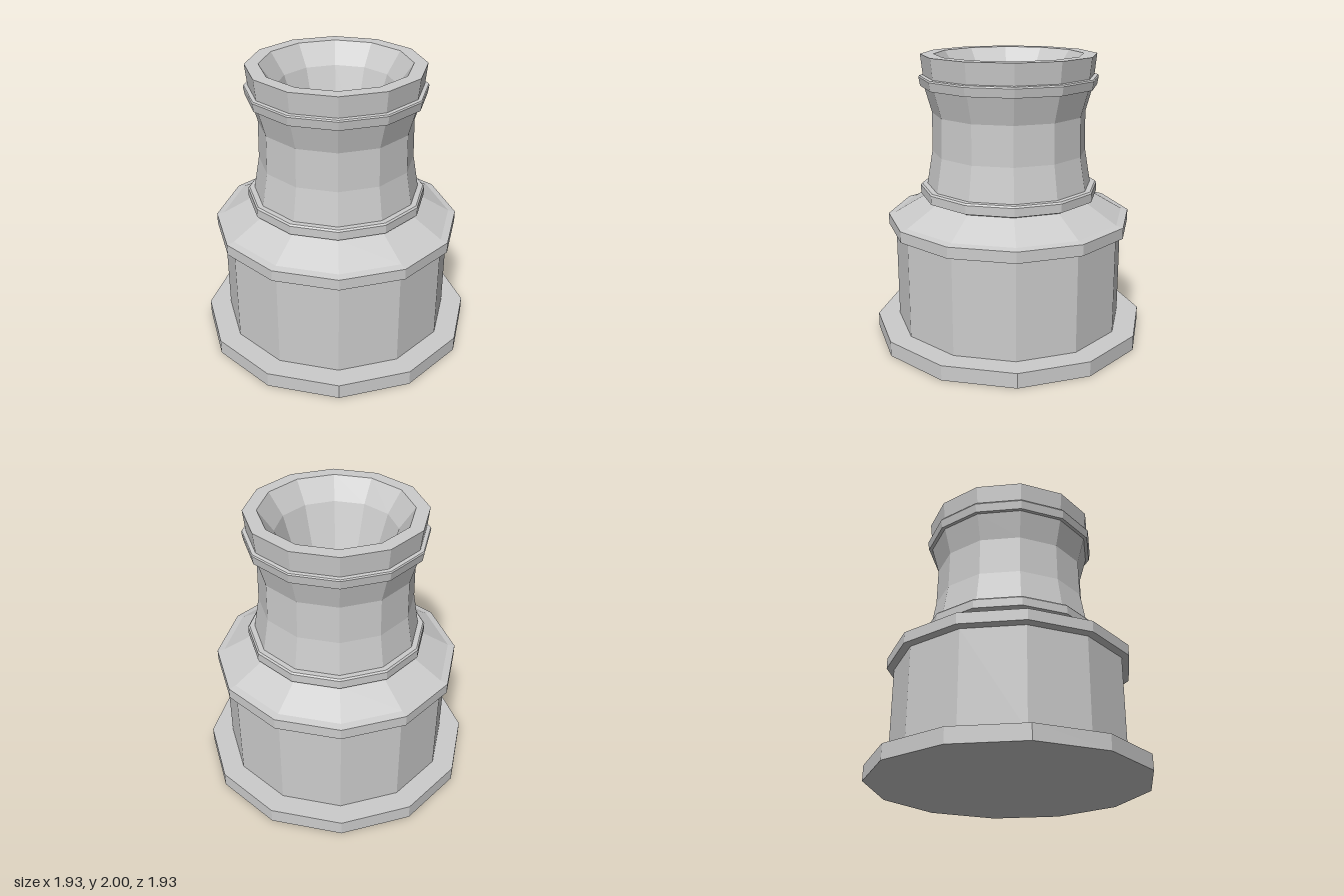
import * as THREE from 'three';

const SIDES = 12;
const material = new THREE.MeshStandardMaterial({ color: 0xcccccc, flatShading: true });

// Revolve a [radius, height] profile into a twelve-sided part
function turned(name, profile) {
  const points = profile.map(([r, y]) => new THREE.Vector2(r, y));
  const mesh = new THREE.Mesh(new THREE.LatheGeometry(points, SIDES), material);
  mesh.name = name;
  return mesh;
}

export function createModel() {
  const group = new THREE.Group();
  group.name = 'turnedPedestal';

  group.add(
    // Wide foot slab
    turned('footPlate', [[0, 0], [0.965, 0], [0.965, 0.105], [0.81, 0.105]]),
    // Straight lower body
    turned('drum', [[0.81, 0.105], [0.81, 0.79]]),
    // Band around the top of the drum
    turned('drumBand', [[0.81, 0.79], [0.86, 0.8], [0.86, 0.877], [0.81, 0.887]]),
    // Sloping shoulder
    turned('shoulder', [[0.81, 0.887], [0.595, 1.013]]),
    // Band at the bottom of the neck
    turned('neckBand', [[0.595, 1.013], [0.625, 1.025], [0.625, 1.085], [0.615, 1.097], [0.578, 1.097]]),
    // Waisted neck
    turned('neck', [[0.578, 1.097], [0.538, 1.33], [0.533, 1.6], [0.585, 1.785]]),
    // Band below the lip
    turned('lipBand', [[0.585, 1.785], [0.61, 1.785], [0.62, 1.845], [0.615, 1.855], [0.59, 1.858]]),
    // Flared lip with flat rim
    turned('lip', [[0.59, 1.858], [0.605, 2], [0.512, 2]]),
    // Tapering hollow and its floor
    turned('hollow', [[0.512, 2], [0.408, 1.85], [0.27, 1.41], [0, 1.41]]),
  );
  return group;
}
